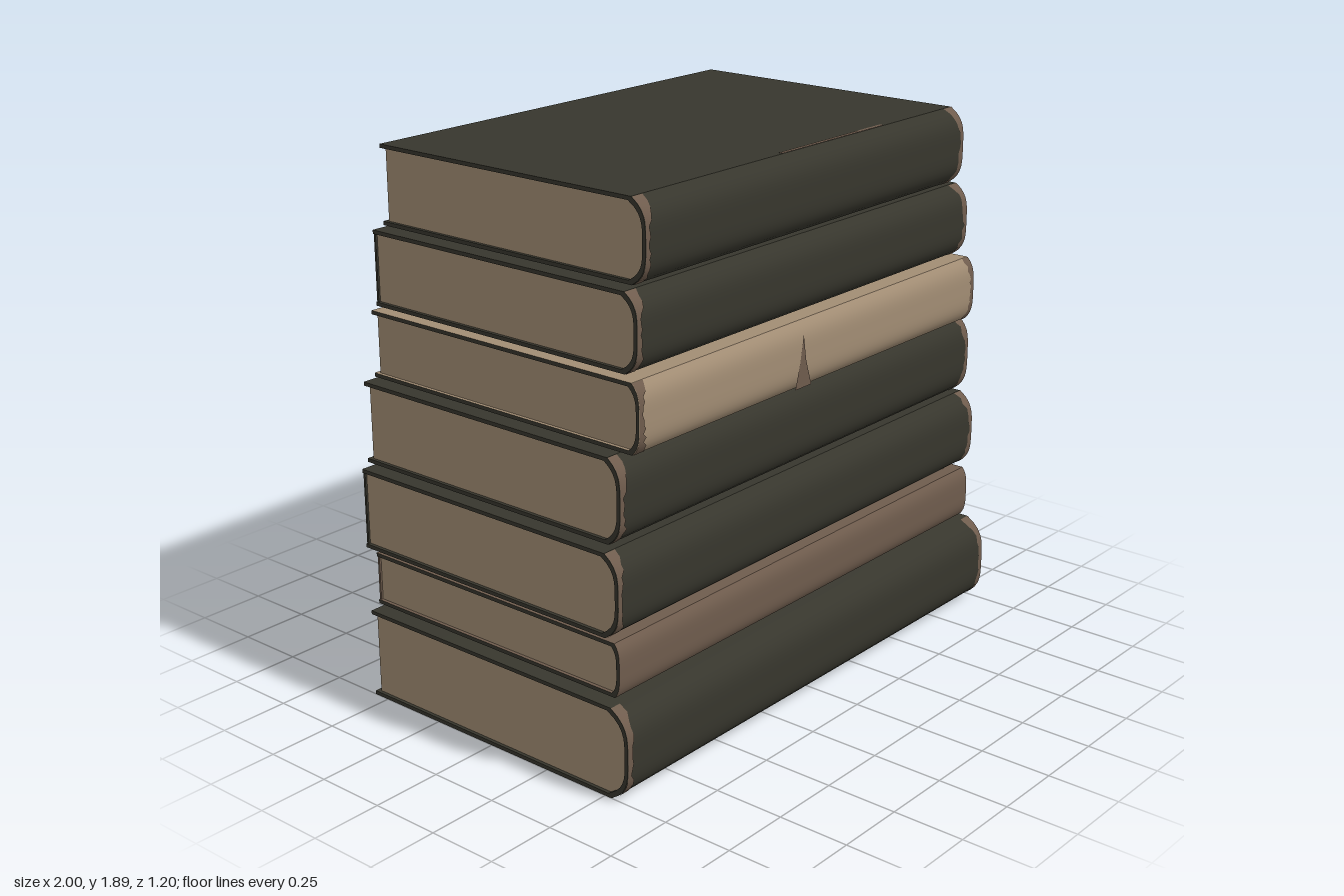
import * as THREE from 'three';
import { toCreasedNormals } from 'three/addons/utils/BufferGeometryUtils.js';

const flat = (name, color) => Object.assign(new THREE.MeshStandardMaterial({ color }), { name });

export function createModel() {
  const dark = flat('dark cloth', 0x37362d);
  const tan = flat('aged paper', 0xa28d74);
  const brown = flat('worn leather', 0x6f5c4d);

  let seed = 7;
  const rand = () => (seed = (seed * 16807) % 2147483647) / 2147483647;

  const add = (parent, name, geometry, material) => {
    const mesh = new THREE.Mesh(geometry, material);
    mesh.name = name;
    parent.add(mesh);
    return mesh;
  };
  const plate = (parent, name, material, size, pos) =>
    add(parent, name, new THREE.BoxGeometry(...size), material).position.set(...pos);

  // Rounded spine outline from bottom to top, as (z, y) points
  const spineCurve = (y0, y1, front, bulge, n = 16) =>
    Array.from({ length: n + 1 }, (_, i) => {
      const v = (2 * i) / n - 1;
      return new THREE.Vector2(front - bulge * v ** 4, y0 + ((y1 - y0) * i) / n);
    });

  // Sweep a (z, y) outline along x, between x0 and x1
  const sweep = (points, x0, x1) => {
    const g = new THREE.ExtrudeGeometry(new THREE.Shape(points), { depth: x1 - x0, bevelEnabled: false });
    g.rotateY(-Math.PI / 2).translate(x1, 0, 0);
    return toCreasedNormals(g, 0.6);
  };

  // Ragged patch wrapping the end of a spine
  const wearPatch = (curve, xEnd, side) => {
    const pos = [], index = [];
    curve.forEach((p, i) => {
      const v = (2 * i) / (curve.length - 1) - 1;
      const width = 0.01 + 0.026 * v * v + 0.016 * rand();
      pos.push(xEnd, p.y, p.x + 0.003, xEnd - side * width, p.y, p.x + 0.003);
      if (i) {
        const a = 2 * i - 2;
        if (side > 0) index.push(a, a + 2, a + 1, a + 1, a + 2, a + 3);
        else index.push(a, a + 1, a + 2, a + 1, a + 3, a + 2);
      }
    });
    const g = new THREE.BufferGeometry();
    g.setAttribute('position', new THREE.Float32BufferAttribute(pos, 3));
    g.setIndex(index);
    g.computeVertexNormals();
    return g;
  };

  const T = 0.013; // board thickness
  const books = [
    { y: [0, 0.315], x: [-1, 1], z: [-0.56, 0.597], bulge: 0.07, cover: dark },
    { y: [0.335, 0.52], x: [-0.97, 0.965], z: [-0.553, 0.54], bulge: 0.02, cover: brown, back: brown, noWear: true },
    { y: [0.53, 0.812], x: [-0.975, 0.975], z: [-0.597, 0.542], bulge: 0.055, cover: dark, back: dark },
    { y: [0.83, 1.112], x: [-0.948, 0.943], z: [-0.597, 0.53], bulge: 0.05, cover: dark },
    { y: [1.12, 1.348], x: [-0.903, 0.898], z: [-0.592, 0.57], bulge: 0.03, cover: tan },
    { y: [1.357, 1.613], x: [-0.876, 0.88], z: [-0.597, 0.54], bulge: 0.05, cover: dark, back: dark },
    { y: [1.622, 1.89], x: [-0.835, 0.836], z: [-0.59, 0.54], bulge: 0.055, cover: dark },
  ];

  const model = new THREE.Group();
  model.name = 'bookStack';
  const groups = books.map((b, i) => {
    const book = new THREE.Group();
    book.name = `book${i + 1}`;
    model.add(book);
    const [y0, y1] = b.y, [x0, x1] = b.x, [back, front] = b.z;
    const mid = (y0 + y1) / 2, cx = (x0 + x1) / 2;
    const outer = spineCurve(y0, y1, front, b.bulge);
    const inner = spineCurve(y0 + T, y1 - T, front - T, b.bulge);
    const V = (z, y) => new THREE.Vector2(z, y);

    // Cover: both boards and the spine in one wrapped section
    const wrap = [V(back, y0), ...outer, V(back, y1), V(back, y1 - T), ...inner.slice().reverse(), V(back, y0 + T)];
    add(book, 'cover', sweep(wrap, x0, x1), [dark, b.cover]);

    // Page block, set in a little from the boards
    const edge = back + (b.back ? 0.006 : 0.015);
    add(book, 'pages', sweep([V(edge, y0 + T), ...inner, V(edge, y1 - T)], x0 + 0.012, x1 - 0.012), tan);

    // Coloured fore edge
    if (b.back) plate(book, 'foreEdge', b.back, [x1 - x0 - 0.01, y1 - y0 - 0.004, 0.008], [cx, mid, back + 0.003]);

    // Worn spine ends
    if (!b.noWear) {
      add(book, 'spineWearLeft', wearPatch(outer, x1, 1), brown);
      add(book, 'spineWearRight', wearPatch(outer, x0, -1), brown);
    }
    return book;
  });

  // Dark slits on the back of the brown book
  for (const x of [0.23, -0.23]) plate(groups[1], 'slit', dark, [0.18, 0.02, 0.006], [x, 0.435, -0.555]);

  // Tapered stain on the pale spine, and a shaded edge at its end
  const stain = new THREE.Shape([[-0.145, 1.13], [-0.06, 1.13], [-0.09, 1.22], [-0.105, 1.31], [-0.12, 1.22]]
    .map(([x, y]) => new THREE.Vector2(x, y)));
  add(groups[4], 'spineStain', new THREE.ShapeGeometry(stain), brown).position.z = 0.573;
  plate(groups[4], 'endShade', brown, [0.006, 0.2, 0.065], [0.886, 1.234, -0.555]);

  // Rubbed front edge of the top book
  plate(groups[6], 'rubbedEdge', brown, [0.55, 0.004, 0.014], [0.16, 1.889, 0.476]);

  return model;
}
